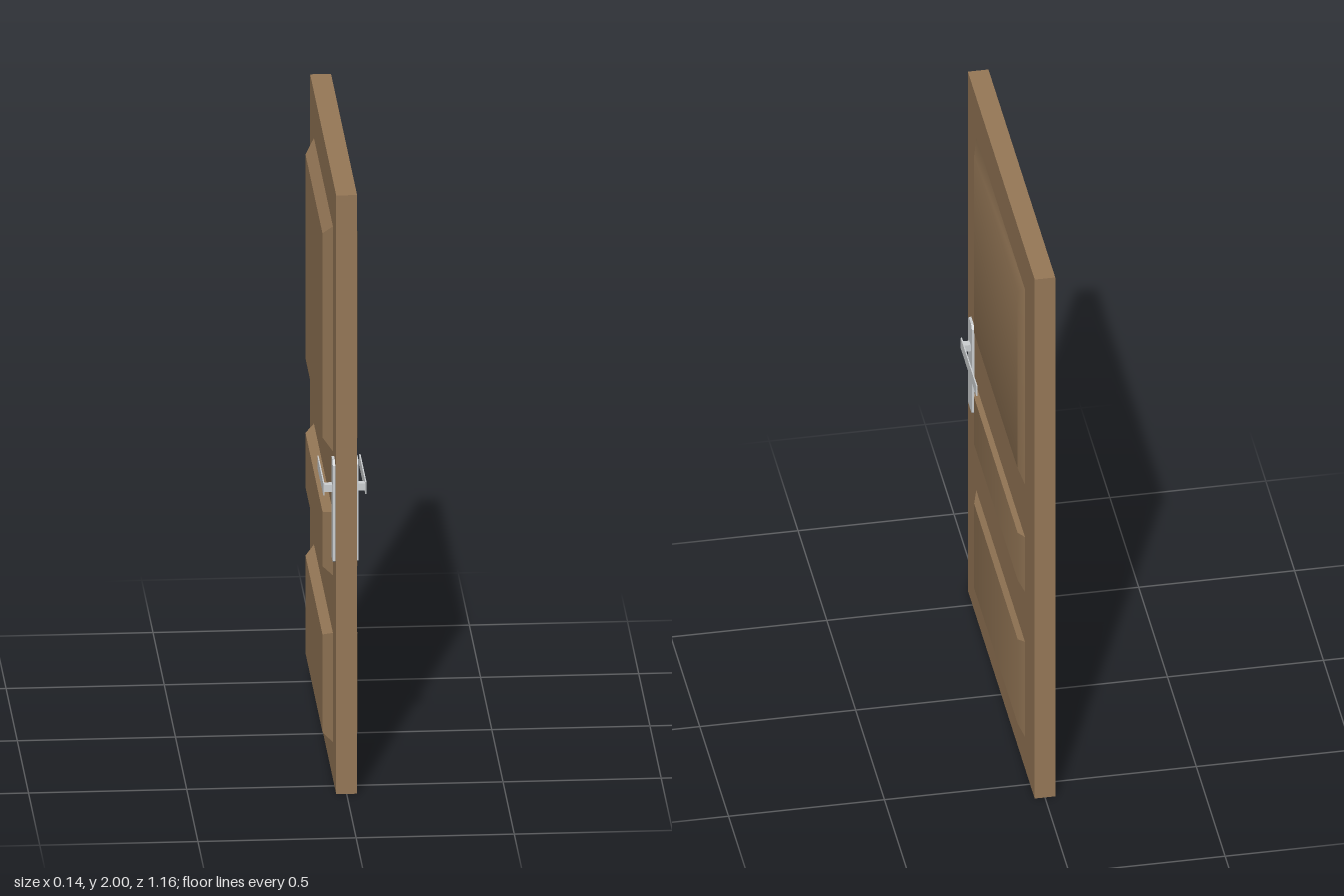
import * as THREE from 'three';
import { toCreasedNormals } from 'three/addons/utils/BufferGeometryUtils.js';

const HALF = 0.033; // half the thickness of the leaf

// Raised panel with bevelled edges on the face pointing to side * x
function panelGeometry(side, height, base, top) {
  const corners = (x, [y0, y1, z0, z1]) => [x, y0, z1, x, y0, z0, x, y1, z0, x, y1, z1];
  const positions = [...corners(side * HALF, base), ...corners(side * (HALF + height), top)];
  const index = [];
  const quad = (a, b, c, d) => (side > 0 ? index.push(a, b, c, a, c, d) : index.push(a, c, b, a, d, c));
  quad(4, 5, 6, 7);
  for (let i = 0; i < 4; i++) {
    const j = (i + 1) % 4;
    quad(i, j, j + 4, i + 4);
  }
  const g = new THREE.BufferGeometry();
  g.setAttribute('position', new THREE.Float32BufferAttribute(positions, 3));
  g.setIndex(index);
  return toCreasedNormals(g, Math.PI / 6); // shallow bevels blend, steep ones stay sharp
}

// Backplate outline with clipped top corners
function plateShape(w, y0, y1, clip) {
  const h = w / 2;
  return new THREE.Shape([
    [-h + 0.005, y0], [h - 0.005, y0], [h, y0 + 0.005], [h, y1 - clip],
    [h - clip, y1], [-h + clip, y1], [-h, y1 - clip], [-h, y0 + 0.005],
  ].map(([x, y]) => new THREE.Vector2(x, y)));
}

export function createModel() {
  const wood = new THREE.MeshStandardMaterial({ name: 'wood', color: 0x967857 });
  const metal = new THREE.MeshStandardMaterial({ name: 'metal', color: 0xcdd0d2 });
  const model = new THREE.Group();
  model.name = 'door';

  const add = (parent, name, geometry, material, x = 0, y = 0, z = 0) => {
    const mesh = new THREE.Mesh(geometry, material);
    mesh.name = name;
    mesh.position.set(x, y, z);
    parent.add(mesh);
  };

  add(model, 'doorLeaf', new THREE.BoxGeometry(HALF * 2, 2, 1.16), wood, 0, 1, 0);

  // Panels: outer bottom, outer top, inner bottom, inner top
  const panels = {
    lowerPanel: [0.122, 0.488, 0.142, 0.468],
    middlePanel: [0.68, 0.892, 0.696, 0.878],
    upperPanel: [1.094, 1.846, 1.126, 1.808],
  };

  for (const side of [1, -1]) {
    const sideName = side > 0 ? 'left' : 'right';
    for (const [name, [b0, b1, t0, t1]] of Object.entries(panels)) {
      const g = panelGeometry(side, side > 0 ? 0.015 : 0.03,
        [b0, b1, -0.412, 0.434], [t0, t1, -0.366, 0.39]);
      add(model, `${sideName}${name}`, g, wood);
    }

    // Handle set, centred on the backplate
    const handle = new THREE.Group();
    handle.name = `${sideName}Handle`;
    handle.position.z = side > 0 ? 0.5 : 0.506;
    const plate = new THREE.ExtrudeGeometry(plateShape(0.068, 0.76, 1.097, 0.014),
      { depth: 0.008, bevelEnabled: false });
    plate.rotateY(side * Math.PI / 2);
    add(handle, 'backplate', plate, metal, side * HALF);
    const reach = side > 0 ? 0.065 : 0.068;
    const length = reach - HALF;
    add(handle, 'spindle', new THREE.BoxGeometry(length, 0.024, 0.025), metal,
      side * (HALF + length / 2), 1, -0.001);
    add(handle, 'lever', new THREE.BoxGeometry(0.004, 0.04, 0.268), metal, side * reach, 1, -0.114);
    model.add(handle);
  }
  return model;
}
